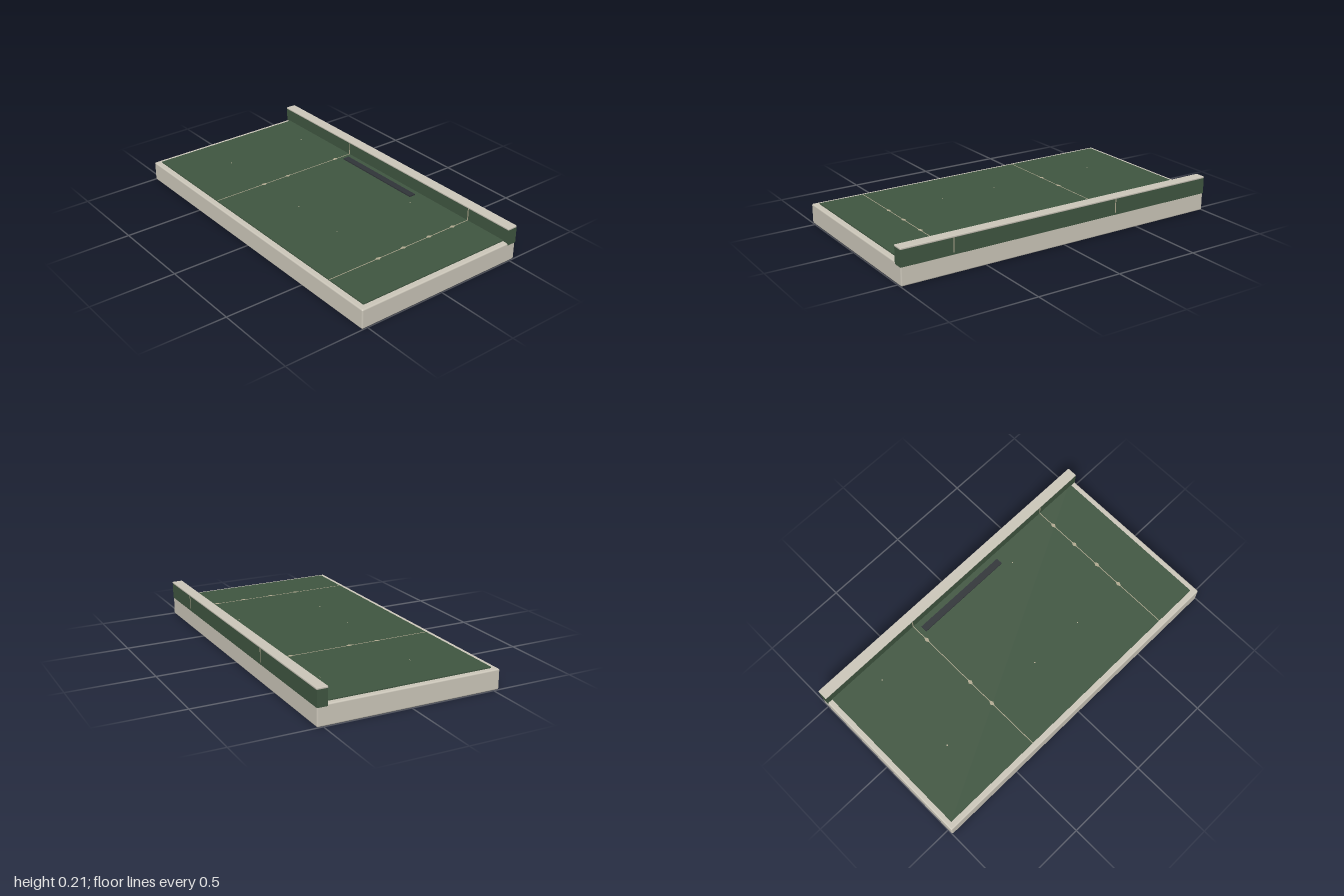
import * as THREE from 'three';
import { RoundedBoxGeometry } from 'three/addons/geometries/RoundedBoxGeometry.js';

export function createModel() {
  const model = new THREE.Group();
  model.name = 'counterSlab';

  const paint = (name, color) => {
    const m = new THREE.MeshStandardMaterial({ color });
    m.name = name;
    return m;
  };
  const stone = paint('pale stone', 0xcac5b8);
  const green = paint('dark green', 0x3f5540);
  const charcoal = paint('charcoal', 0x303438);
  const inlay = paint('inlay beige', 0xb0a88f);

  const add = (name, geometry, material, x, y, z) => {
    const mesh = new THREE.Mesh(geometry, material);
    mesh.name = name;
    mesh.position.set(x, y, z);
    model.add(mesh);
    return mesh;
  };
  // box given by its low and high limits on each axis, optionally rounded
  const block = (name, material, [x0, x1], [y0, y1], [z0, z1], r = 0) => {
    const size = [x1 - x0, y1 - y0, z1 - z0];
    const geo = r ? new RoundedBoxGeometry(...size, 2, r) : new THREE.BoxGeometry(...size);
    return add(name, geo, material, (x0 + x1) / 2, (y0 + y1) / 2, (z0 + z1) / 2);
  };

  // main slab, inset top panel and raised back wall with its cap
  block('base', stone, [-0.999, 0.999], [0, 0.116], [-0.534, 0.534], 0.008);
  block('topPanel', green, [-0.968, 0.965], [0.1, 0.122], [-0.49, 0.5]);
  block('backWall', green, [-1, 1], [0.104, 0.197], [-0.535, -0.476]);
  block('backWallCap', stone, [-1, 1], [0.196, 0.208], [-0.537, -0.473], 0.004);

  // dark slot strip near the back wall
  block('slotStrip', charcoal, [-0.31, 0.3], [0.121, 0.129], [-0.44, -0.4]);

  // flat diamond plate lying on the panel
  const diamond = (name, x, z, w, d) => {
    const s = new THREE.Shape();
    s.moveTo(w / 2, 0).lineTo(0, d / 2).lineTo(-w / 2, 0).lineTo(0, -d / 2);
    const geo = new THREE.ShapeGeometry(s).rotateX(-Math.PI / 2);
    add(name, geo, inlay, x, 0.1235, z);
  };

  // two seams running over the panel and both faces of the back wall
  const seams = [
    { x: -0.343, marks: [-0.36, 0, 0.175] },
    { x: 0.695, marks: [-0.36, -0.185, 0, 0.175] },
  ];
  for (const { x, marks } of seams) {
    block('panelSeam', inlay, [x - 0.002, x + 0.002], [0.121, 0.123], [-0.476, 0.5]);
    block('wallSeam', inlay, [x - 0.003, x + 0.003], [0.116, 0.196], [-0.536, -0.475]);
    for (const z of marks) diamond('seamMark', x, z, 0.024, 0.045);
  }

  // tiny studs scattered on the panel
  const studs = [[-0.69, -0.36], [0.35, -0.36], [-0.69, 0.175], [0, 0.175], [0.35, 0.175]];
  for (const [x, z] of studs) diamond('stud', x, z, 0.01, 0.01);

  return model;
}
